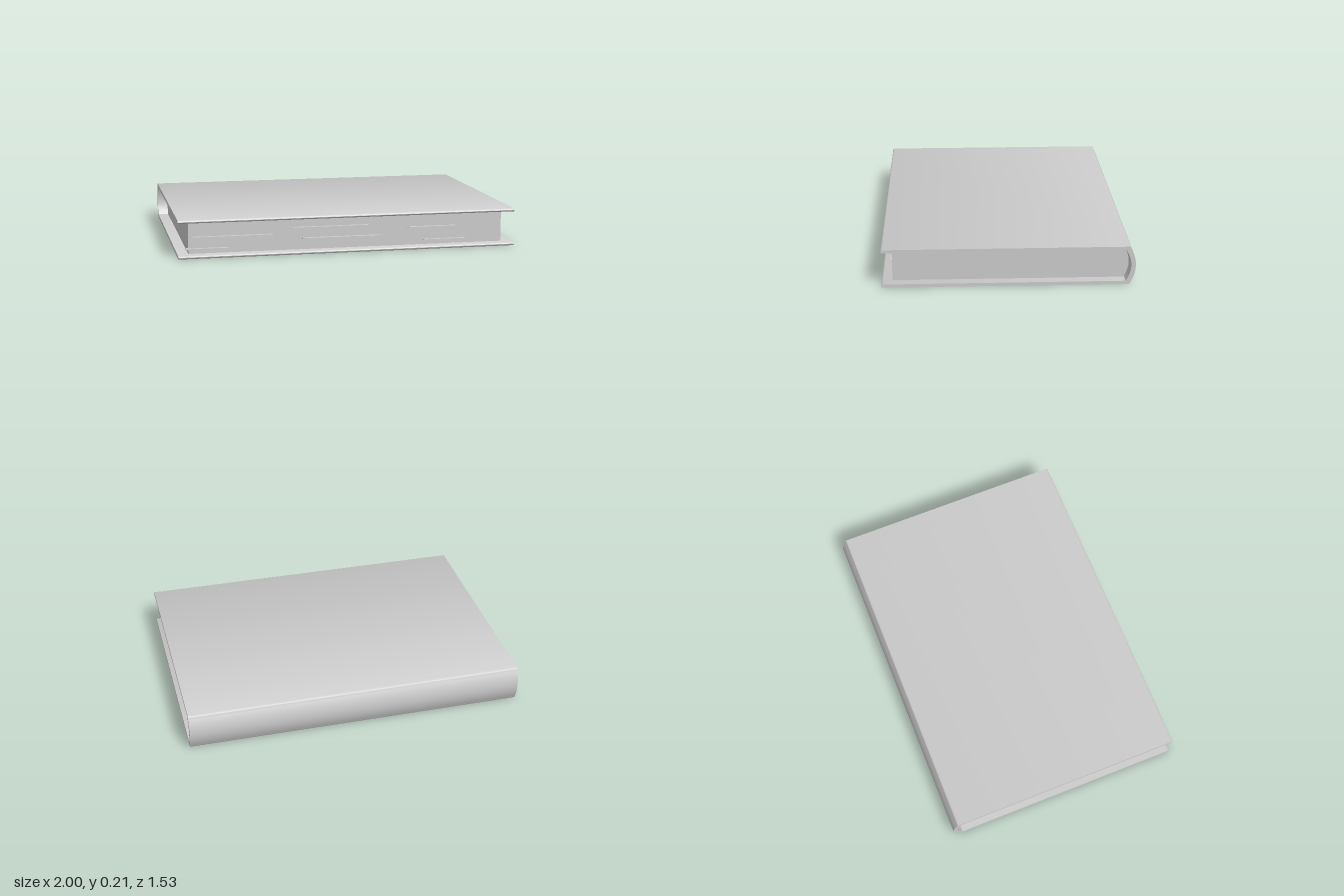
import * as THREE from 'three';
import { toCreasedNormals } from 'three/addons/utils/BufferGeometryUtils.js';

const HEIGHT = 0.21, BOARD = 0.018;
const COVER_WIDTH = 1.87, PAGE_WIDTH = 1.752;
const FRONT = 0.67, PAGE_FRONT = 0.613;

// Extrude a side profile (u = -z, y) along x, centred on x = 0
function extrudeAlongX(shape, width) {
  const geo = new THREE.ExtrudeGeometry(shape, { depth: width, bevelEnabled: false, curveSegments: 16 });
  geo.translate(0, 0, -width / 2);
  geo.rotateY(Math.PI / 2);
  return toCreasedNormals(geo, 0.7);
}

export function createModel() {
  const book = new THREE.Group();
  book.name = 'book';
  const material = new THREE.MeshStandardMaterial({ color: 0xcccccc });
  const add = (name, geometry) => {
    const mesh = new THREE.Mesh(geometry, material);
    mesh.name = name;
    book.add(mesh);
    return mesh;
  };

  // Cover: two boards with rounded front edges, joined by a bowed spine
  const r = BOARD / 2, top = HEIGHT, inner = HEIGHT - BOARD;
  const cover = new THREE.Shape();
  cover.moveTo(-FRONT + r, 0);
  cover.lineTo(0.632, 0);
  cover.quadraticCurveTo(0.641, 0, 0.645, 0.012);
  cover.quadraticCurveTo(0.695, top / 2, 0.645, top - 0.012);
  cover.quadraticCurveTo(0.641, top, 0.632, top);
  cover.lineTo(-FRONT + r, top);
  cover.absarc(-FRONT + r, top - r, r, Math.PI / 2, Math.PI * 1.5, false);
  cover.lineTo(0.618, inner);
  cover.quadraticCurveTo(0.674, top / 2, 0.618, BOARD);
  cover.lineTo(-FRONT + r, BOARD);
  cover.absarc(-FRONT + r, r, r, Math.PI / 2, Math.PI * 1.5, false);
  add('cover', extrudeAlongX(cover, COVER_WIDTH));

  // Page block with a rounded back that follows the spine
  const pages = new THREE.Shape();
  pages.moveTo(-PAGE_FRONT, BOARD);
  pages.lineTo(0.612, BOARD);
  pages.quadraticCurveTo(0.668, top / 2, 0.612, inner);
  pages.lineTo(-PAGE_FRONT, inner);
  pages.closePath();
  add('pageBlock', extrudeAlongX(pages, PAGE_WIDTH));

  // Loose page edges standing out of the fore edge: centre x, height, length
  const edges = [
    [-0.641, 0.108, 0.442], [-0.102, 0.14, 0.434], [-0.036, 0.08, 0.44],
    [0.477, 0.118, 0.28], [0.548, 0.045, 0.24], [-0.775, 0.045, 0.23],
  ];
  for (const [x, y, length] of edges) {
    add('pageEdge', new THREE.BoxGeometry(length, 0.005, 0.04)).position.set(x, y, PAGE_FRONT);
  }

  // The book lies slightly turned
  book.rotation.y = 0.106;
  const model = new THREE.Group();
  model.add(book);
  return model;
}
